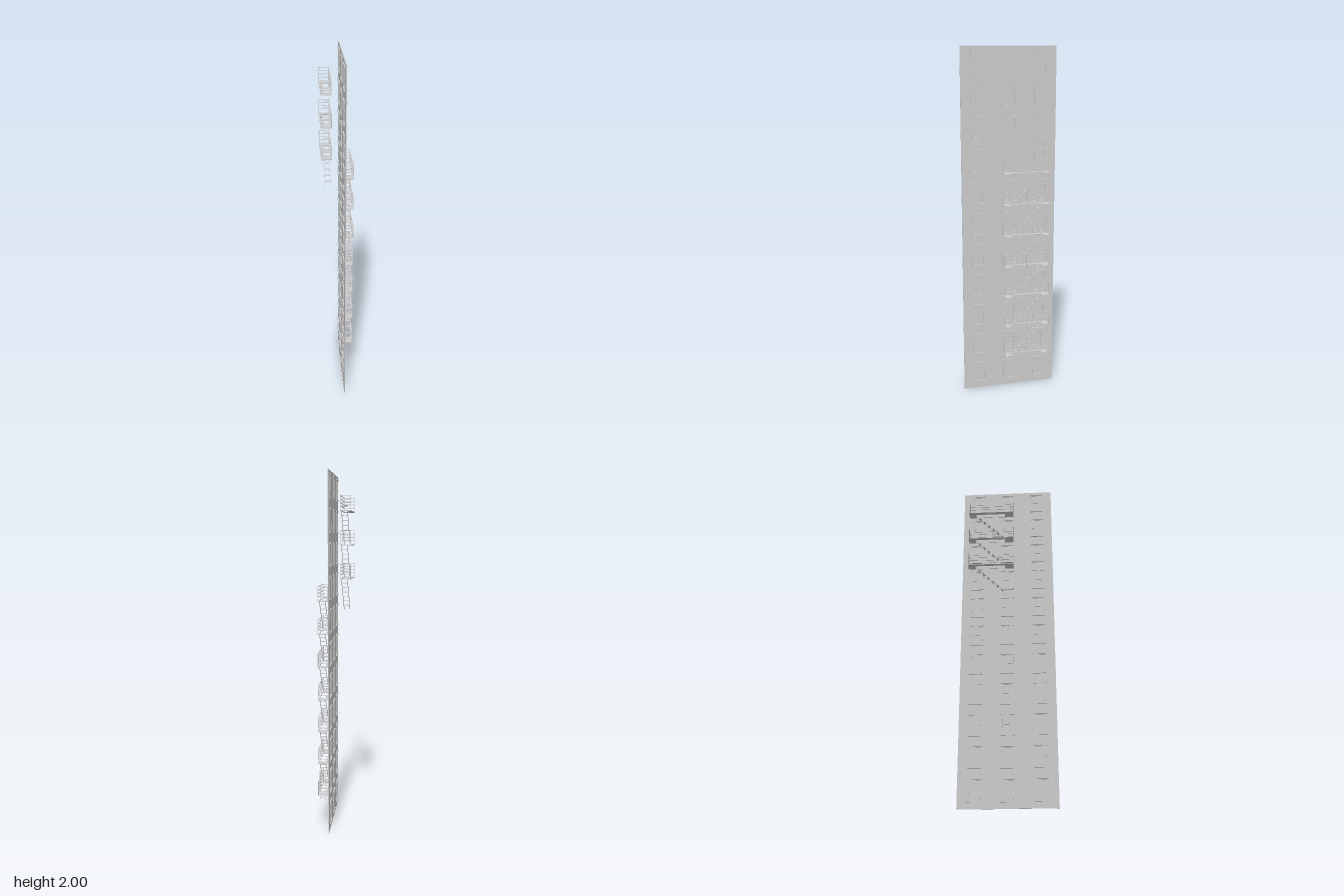
import * as THREE from 'three';

const material = new THREE.MeshStandardMaterial({ color: 0xcccccc, flatShading: true, side: THREE.DoubleSide });
const FLOORS = 11, PITCH = 2 / FLOORS, WALL_X = 0.0265;

function box(parent, name, w, h, d, x, y, z) {
  const mesh = new THREE.Mesh(new THREE.BoxGeometry(w, h, d), material);
  mesh.name = name;
  mesh.position.set(x, y, z);
  parent.add(mesh);
  return mesh;
}

function group(parent, name, x, y, z) {
  const g = new THREE.Group();
  g.name = name;
  g.position.set(x, y, z);
  parent.add(g);
  return g;
}

// Sash window showing on both faces of the wall; origin at the sill
function addWindow(parent, y, z) {
  const win = group(parent, 'window', WALL_X, y, z);
  box(win, 'sill', 0.018, 0.008, 0.077, 0, 0, 0);
  box(win, 'lintel', 0.018, 0.01, 0.077, 0, 0.122, 0);
  for (const s of [-1, 1]) box(win, 'windowJamb', 0.009, 0.116, 0.005, 0, 0.061, s * 0.031);
  for (const h of [0.007, 0.061, 0.115]) box(win, 'sashRail', 0.008, 0.005, 0.058, 0, h, 0);
}

// Platform geometry with a stair opening, lying in the xz plane
function platformGeometry() {
  const rect = (P, x0, x1, z0, z1) => new P([
    new THREE.Vector2(x0, -z1), new THREE.Vector2(x1, -z1),
    new THREE.Vector2(x1, -z0), new THREE.Vector2(x0, -z0),
  ]);
  const shape = rect(THREE.Shape, 0, 0.058, -0.23, 0.04);
  shape.holes.push(rect(THREE.Path, 0.021, 0.055, -0.188, -0.012));
  return new THREE.ExtrudeGeometry(shape, { depth: 0.004, bevelEnabled: false }).rotateX(-Math.PI / 2);
}

// Landing railed on its outer side and both ends
function addLanding(parent, platform, x, y) {
  const g = group(parent, 'landing', x, y, 0);
  const floor = new THREE.Mesh(platform, material);
  floor.name = 'platform';
  g.add(floor);
  const t = 0.003;
  for (const h of [0.026, 0.044, 0.062, 0.081]) {
    box(g, 'sideRail', t, t, 0.27, 0.0575, h, -0.095);
    for (const z of [-0.2285, 0.0385]) box(g, 'endRail', 0.058, t, t, 0.029, h, z);
  }
  for (const z of [-0.2285, -0.09, 0.0385]) box(g, 'outerPost', t, 0.082, t, 0.0575, 0.041, z);
  for (const z of [-0.2285, 0.0385]) box(g, 'innerPost', t, 0.082, t, 0.0015, 0.041, z);
  return g;
}

// Stair flight going down and forward from a landing's opening
function addStair(landing) {
  const g = group(landing, 'stair', 0, 0, 0);
  const run = 0.187, drop = PITCH;
  for (const x of [0.0215, 0.0545]) {
    const s = box(g, 'stringer', 0.002, 0.006, Math.hypot(run, drop), x, -drop / 2 + 0.002, -run / 2);
    s.rotation.x = Math.atan2(drop, run);
  }
  for (let i = 0; i < 6; i++) {
    const z = -0.163 + i * 0.0272;
    box(g, 'tread', 0.033, 0.003, 0.011, 0.038, -(z + run) * drop / run + 0.002, z);
  }
}

// Drop ladder hanging through the lowest opening
function addLadder(landing) {
  const g = group(landing, 'ladder', 0.038, 0.047, -0.181);
  for (const s of [-1, 1]) box(g, 'ladderRail', 0.003, 0.17, 0.003, s * 0.0165, 0, 0);
  for (let i = 0; i < 9; i++) box(g, 'rung', 0.033, 0.002, 0.003, 0, -0.076 + i * 0.019, 0);
}

export function createModel() {
  const model = new THREE.Group();
  model.name = 'fireEscapeWall';
  box(model, 'wall', 0.004, 2, 0.545, WALL_X, 1, 0);

  // Three windows on every storey
  for (let f = 0; f < FLOORS; f++)
    for (const z of [-0.182, -0.002, 0.181]) addWindow(model, 0.039 + f * PITCH, z);

  const platform = platformGeometry();

  // Long fire escape against the wall
  const lower = group(model, 'lowerFireEscape', 0, 0, 0);
  for (let i = 0; i < 7; i++) {
    const landing = addLanding(lower, platform, 0.031, 0.204 + i * 0.1825);
    if (i === 0) addLadder(landing);
    else addStair(landing);
  }

  // Short fire escape standing clear on the other side
  const upper = group(model, 'upperFireEscape', 0, 0, 0);
  for (let i = 0; i < 3; i++) addStair(addLanding(upper, platform, -0.091, 1.419 + i * 0.1825));

  return model;
}
